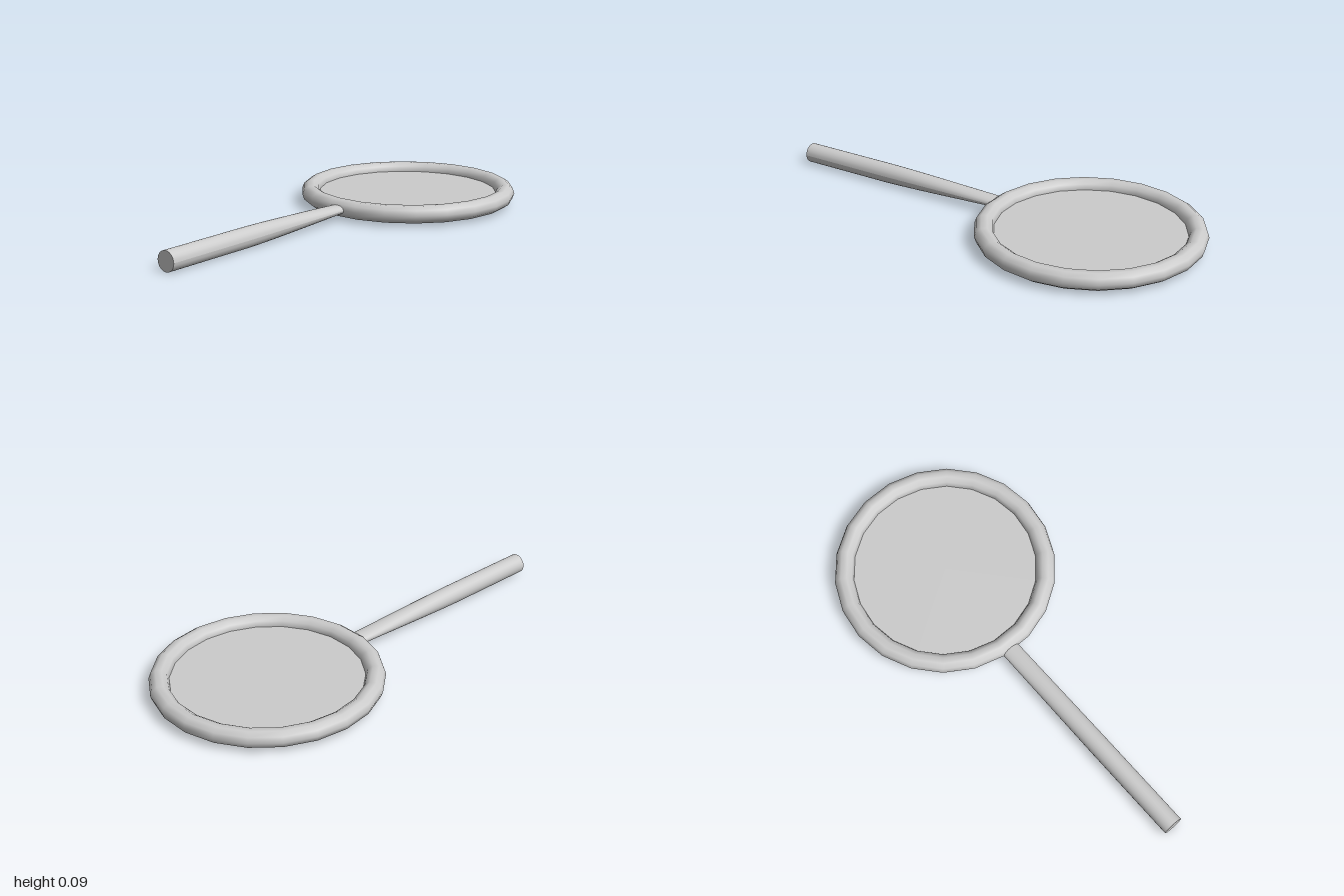
import * as THREE from 'three';

const SIDES = 22;
const CX = 0.507, CY = 0.05;

function makeMesh(name, geometry, extra = {}) {
  const mesh = new THREE.Mesh(geometry, new THREE.MeshStandardMaterial({ color: 0xcccccc, ...extra }));
  mesh.name = name;
  return mesh;
}

export function createModel() {
  const model = new THREE.Group();
  model.name = 'magnifyingGlass';

  // Round frame, with a corner pointing front and back
  const rim = makeMesh('rim', new THREE.TorusGeometry(0.446, 0.042, 10, SIDES)
    .rotateX(Math.PI / 2).rotateY(Math.PI / 2));
  rim.scale.y = 0.94;
  rim.position.set(CX, CY, 0);
  model.add(rim);

  // Thin lens held in the middle of the frame
  const lens = makeMesh('lens', new THREE.CircleGeometry(0.44, SIDES)
    .rotateX(-Math.PI / 2).rotateY(Math.PI / 2), { side: THREE.DoubleSide });
  lens.position.set(CX, CY, 0);
  model.add(lens);

  // Handle: a round bar whose height tapers towards the frame
  const start = -1, end = 0.05, r = 0.044;
  const bar = new THREE.CylinderGeometry(r, r, end - start, 24, 14)
    .rotateZ(-Math.PI / 2).translate((start + end) / 2, 0, 0);
  const p = bar.attributes.position;
  for (let i = 0; i < p.count; i++) {
    const t = THREE.MathUtils.clamp((p.getX(i) + 0.55) / 0.6, 0, 1);
    const squash = 1 - 0.57 * Math.pow(t, 1.35);
    p.setY(i, p.getY(i) * squash + 0.004 * t);
    p.setZ(i, p.getZ(i) * (1 - 0.06 * t));
  }
  bar.computeVertexNormals();
  const handle = makeMesh('handle', bar);
  handle.position.set(0, r, -0.03);
  model.add(handle);

  return model;
}
